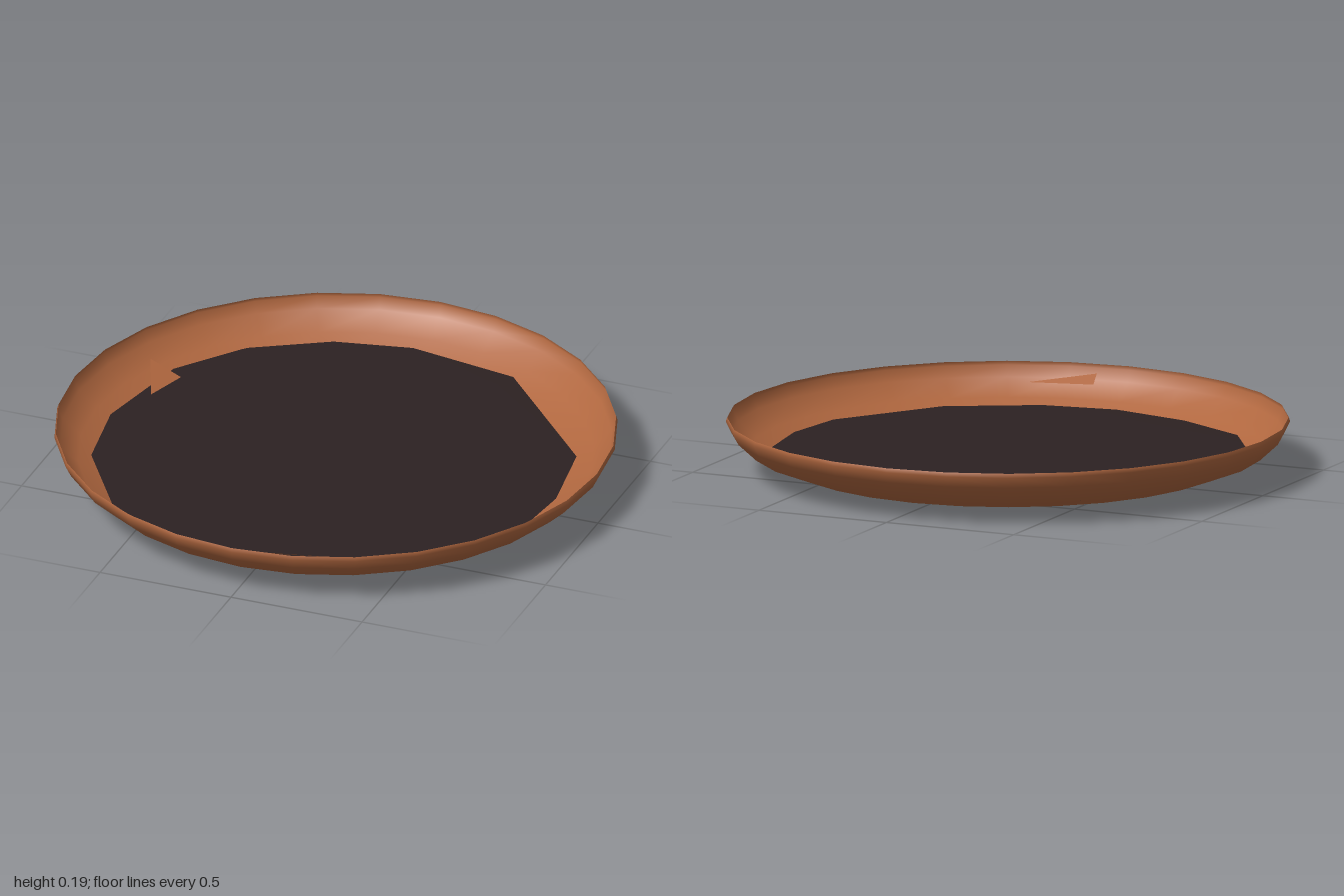
import * as THREE from 'three';

const brown = new THREE.MeshStandardMaterial({ name: 'terracotta brown', color: 0xb0673f, side: THREE.DoubleSide });
const dark = new THREE.MeshStandardMaterial({ name: 'dark soil', color: 0x2c2122, side: THREE.DoubleSide });

function add(group, name, geometry, material) {
  const mesh = new THREE.Mesh(geometry, material);
  mesh.name = name;
  group.add(mesh);
}

function lathe(points) {
  return new THREE.LatheGeometry(points.map(([r, y]) => new THREE.Vector2(r, y)), 28);
}

// Nearly flat filling: rings of the outline joined to a centre point
function fillingGeometry(outline, rings, centreY) {
  const n = outline.length;
  const pos = [0, centreY, 0];
  const index = [];
  rings.forEach(([scale, height], k) => {
    outline.forEach(([x, z], i) => {
      pos.push(x * scale, height, z * scale);
      const a = 1 + k * n + i, b = 1 + k * n + (i + 1) % n;
      if (k === 0) index.push(0, b, a);
      else index.push(a - n, b - n, b, a - n, b, a);
    });
  });
  const g = new THREE.BufferGeometry();
  g.setAttribute('position', new THREE.Float32BufferAttribute(pos, 3));
  g.setIndex(index);
  g.computeVertexNormals();
  return g;
}

function shard(points) {
  const g = new THREE.BufferGeometry();
  g.setAttribute('position', new THREE.Float32BufferAttribute(points.flat(), 3));
  g.computeVertexNormals();
  return g;
}

export function createModel() {
  const group = new THREE.Group();
  group.name = 'dish';

  // Thin shallow dish
  add(group, 'dishBase', lathe([[0, 0], [0.5, 0.003], [0.78, 0.03]]), brown);
  add(group, 'dishWall', lathe([[0.78, 0.03], [0.915, 0.08], [0.98, 0.14], [1, 0.18], [0.995, 0.195]]), brown);

  // Filling with an irregular edge where it meets the wall
  const outline = [
    [-0.05, -0.86], [0.36, -0.79], [0.79, -0.32], [0.84, 0], [0.81, 0.26],
    [0.56, 0.64], [0.25, 0.81], [-0.02, 0.85], [-0.32, 0.78], [-0.6, 0.63],
    [-0.81, 0.31], [-0.86, 0], [-0.78, -0.4], [-0.6, -0.64], [-0.33, -0.8],
  ];
  add(group, 'soil', fillingGeometry(outline, [[0.6, 0.075], [1, 0.067]], 0.077), dark);

  // Small chips resting against the wall
  add(group, 'sideChip', shard([[-0.84, 0.13, -0.33], [-0.77, 0.085, -0.16], [-0.72, 0.085, -0.32]]), brown);
  add(group, 'frontChip', shard([[0.09, 0.14, 0.89], [0.1, 0.17, 0.94], [0.32, 0.14, 0.83]]), brown);

  return group;
}
